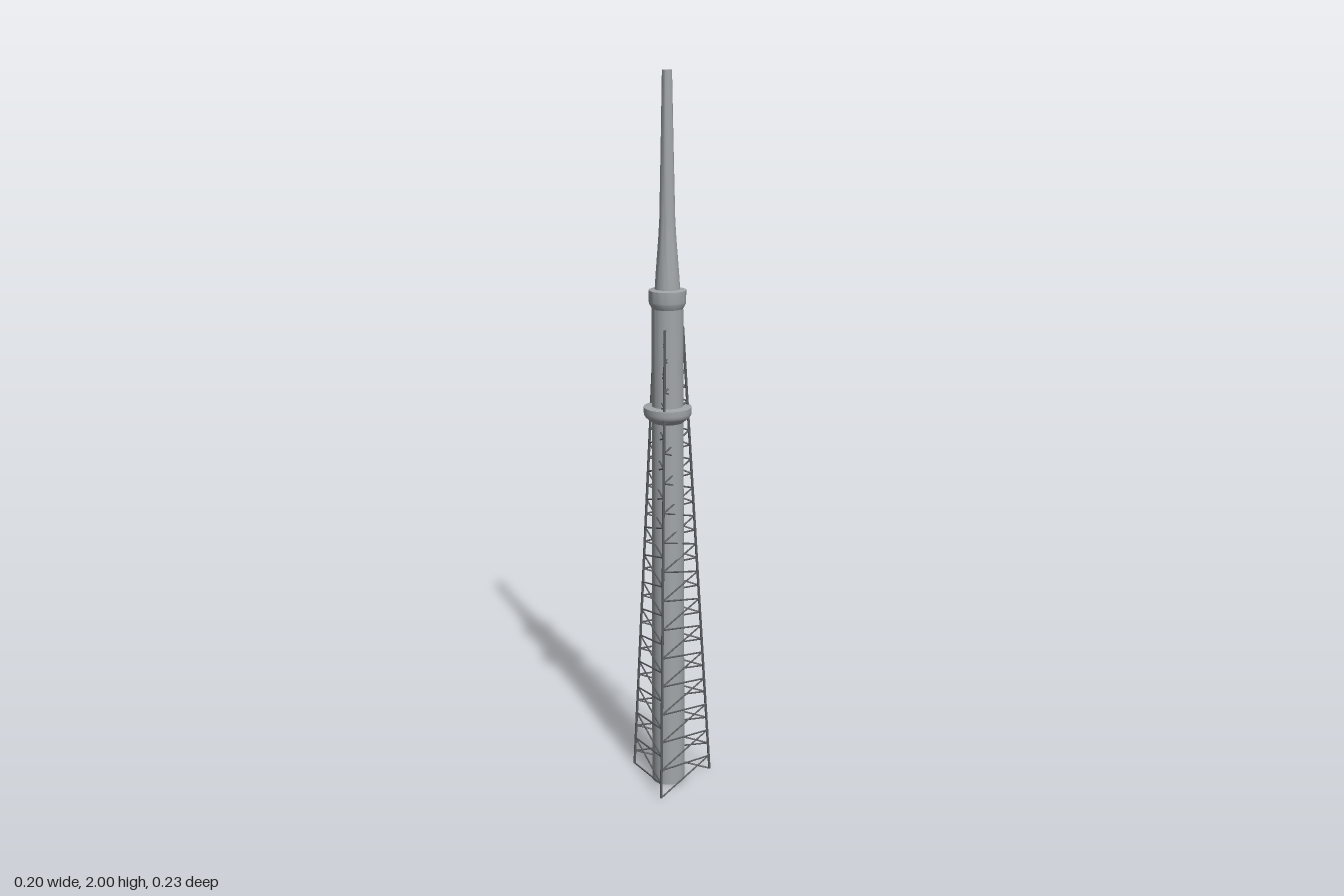
import * as THREE from 'three';
import { toCreasedNormals } from 'three/addons/utils/BufferGeometryUtils.js';

const CX = -0.033;      // axis of the tower
const BASE_R = 0.129;   // leg distance from the axis at the ground
const TOP_R = 0.044;    // leg distance at the top of the lattice
const LATTICE_H = 1.33;
const BAYS = 32;

export function createModel() {
  const tower = new THREE.Group();
  tower.name = 'tower';
  const concrete = new THREE.MeshStandardMaterial({ name: 'concrete grey', color: 0xa0a5a8, side: THREE.DoubleSide });
  const steel = new THREE.MeshStandardMaterial({ name: 'dark steel', color: 0x5c5f62 });

  // A turned part, open at both ends
  function lathe(name, profile) {
    const pts = profile.map(([r, y]) => new THREE.Vector2(r, y));
    const mesh = new THREE.Mesh(toCreasedNormals(new THREE.LatheGeometry(pts, 40), 0.6), concrete);
    mesh.name = name;
    mesh.position.x = CX;
    tower.add(mesh);
  }

  lathe('shaft', [[0.047, 0], [0.045, 0.6], [0.043, 1.09], [0.042, 1.4]]);
  lathe('lowerRing', [[0.042, 1.072], [0.06, 1.087], [0.064, 1.093], [0.065, 1.1], [0.065, 1.115], [0.04, 1.118]]);
  lathe('upperRing', [[0.042, 1.385], [0.049, 1.398], [0.05, 1.404], [0.05, 1.434], [0.033, 1.437]]);
  lathe('mast', [[0.034, 1.435], [0.031, 1.48], [0.024, 1.57], [0.021, 1.62], [0.017, 1.8], [0.013, 2]]);

  // A straight round bar between two points
  const up = new THREE.Vector3(0, 1, 0);
  function bar(parent, name, a, b, r) {
    const dir = b.clone().sub(a);
    const mesh = new THREE.Mesh(new THREE.CylinderGeometry(r, r, dir.length(), 8), steel);
    mesh.name = name;
    mesh.position.copy(a).add(b).multiplyScalar(0.5);
    mesh.quaternion.setFromUnitVectors(up, dir.normalize());
    parent.add(mesh);
  }

  // Point on one of the three legs, t running from the ground to the top
  function legPoint(leg, t) {
    const a = leg * Math.PI * 2 / 3;
    const r = THREE.MathUtils.lerp(BASE_R, TOP_R, t);
    return new THREE.Vector3(CX + r * Math.cos(a), 0.003 + t * LATTICE_H, r * Math.sin(a));
  }

  const legs = new THREE.Group();
  legs.name = 'legs';
  const bracing = new THREE.Group();
  bracing.name = 'bracing';
  tower.add(legs, bracing);

  // Each leg with the zigzag bracing that runs from it to the next leg
  for (let leg = 0; leg < 3; leg++) {
    const next = (leg + 2) % 3;
    bar(legs, 'leg', legPoint(leg, 0), legPoint(leg, 1), 0.0038);
    for (let k = 0; k < BAYS; k++) {
      const [from, to] = k % 2 ? [next, leg] : [leg, next];
      bar(bracing, 'brace', legPoint(from, k / BAYS), legPoint(to, (k + 1) / BAYS), 0.0023);
    }
  }
  return tower;
}
